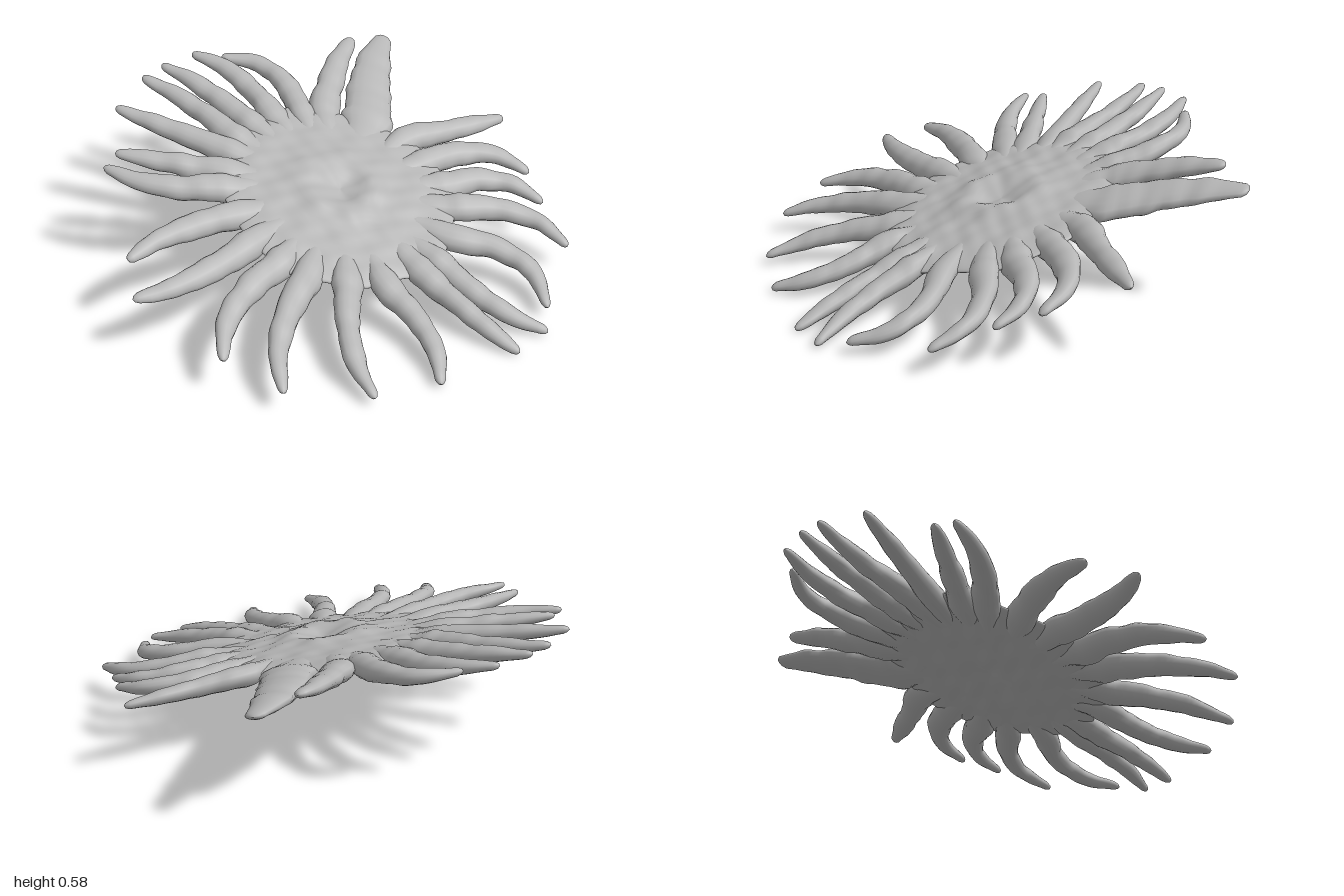
import * as THREE from 'three';

const skin = new THREE.MeshStandardMaterial({ color: 0xb6b6b6 });
skin.name = 'paleGreySkin';

// The whole animal lies on a tilted plane
const slope = (x, z) => 0.287 - 0.285 * z + 0.042 * x;

// Smooth lumpy noise, about -1..1
const lump = (x, y, z) =>
  (Math.sin(23 * x + 9 * z + 1) * Math.sin(27 * z - 7 * x + 30 * y) +
   0.7 * Math.sin(47 * x - 31 * z + 2) * Math.sin(41 * z + 19 * x + 20 * y)) / 1.5;

// Closed-ring surface: rows along, cols around; place(u, v) gives a flat-space point
function ringSurface(rows, cols, place) {
  const pos = [], index = [];
  for (let i = 0; i <= rows; i++) {
    for (let j = 0; j < cols; j++) {
      const p = place(i / rows, j / cols);
      pos.push(p.x, p.y + slope(p.x, p.z), p.z);
      if (i === rows) continue;
      const a = i * cols + j, b = i * cols + (j + 1) % cols;
      index.push(a, a + cols, b + cols, a, b + cols, b);
    }
  }
  const g = new THREE.BufferGeometry();
  g.setAttribute('position', new THREE.Float32BufferAttribute(pos, 3));
  g.setIndex(index);
  g.computeVertexNormals();
  return g;
}

// Piecewise-linear lookup in [t, value] stops
function ramp(stops, t) {
  for (let k = 1; k < stops.length; k++) {
    const [t0, v0] = stops[k - 1], [t1, v1] = stops[k];
    if (t <= t1) return v0 + (v1 - v0) * (t - t0) / (t1 - t0);
  }
  return stops[stops.length - 1][1];
}

// Point on the oval where the arms leave the disc
const centre = new THREE.Vector3(0.05, 0, 0);
function onOval(degrees, scale) {
  const a = THREE.MathUtils.degToRad(degrees);
  return new THREE.Vector3(0.47 * Math.cos(a), 0, 0.5 * Math.sin(a)).multiplyScalar(scale).add(centre);
}

// Arms: root angle, tip x, tip z, sideways bend, half width, tip lift
const arms = [
  [-8, 0.99, 0.08, 0],
  [9, 0.835, 0.37, -0.08],
  [26, 0.755, 0.52, -0.075],
  [41, 0.66, 0.74, -0.085],
  [61, 0.34, 0.9, -0.11],
  [80, 0.25, 0.98, 0.03],
  [91, 0.08, 0.98, 0.01],
  [113, -0.285, 0.9, -0.05],
  [132, -0.535, 0.8, 0.04],
  [151, -0.8, 0.585, 0.05],
  [165, -0.89, 0.35, 0.06],
  [181, -0.99, -0.055, -0.03],
  [198, -0.89, -0.215, 0.03],
  [215, -0.675, -0.645, -0.04],
  [226, -0.59, -0.68, 0],
  [240, -0.43, -0.885, 0],
  [250, -0.22, -0.97, 0.02],
  [264, -0.1, -0.985, 0.02],
  [278, 0.06, -0.97, 0.05],
  [294, 0.16, -0.885, 0.09],
  [307, 0.715, -0.615, -0.02, 0.055, 0.045],
  [330, 0.89, -0.58, -0.02, 0.088, 0.01],
];

// Disc: the rim runs through the notches between arms, shallower where arms crowd
function discGeometry() {
  const notches = arms.map(([angle], i) => {
    const next = i + 1 < arms.length ? arms[i + 1][0] : arms[0][0] + 360;
    return onOval((angle + next) / 2, 1 + (18 - (next - angle)) * 0.012);
  });
  const rim = new THREE.CatmullRomCurve3(notches, true);
  const cols = 132;
  return ringSurface(56, cols, (u, v) => {
    // underside centre -> rim -> upper centre
    const a = (u - 0.5) * Math.PI, top = u > 0.5;
    const p = centre.clone().lerp(rim.getPoint(v), Math.cos(a));
    const r = p.distanceTo(centre);
    const bowl = top
      ? 0.02 * Math.exp(-(((r - 0.14) / 0.06) ** 2)) - 0.025 * Math.exp(-((r / 0.08) ** 2))
      : 0.02 * Math.exp(-((r / 0.09) ** 2));
    const bumps = 0.009 * lump(p.x, top ? 0.1 : -0.1, p.z) * Math.abs(Math.sin(a));
    p.y = 0.048 * Math.sin(a) + bowl + bumps;
    return p;
  });
}

// Arm taper from the hidden inner end to the blunt tip
const widthStops = [[0, 0], [0.05, 0.8], [0.28, 1.3], [0.45, 1.1], [0.75, 0.88], [0.9, 0.62], [0.985, 0.4], [1, 0]];
const heightStops = [[0, 0], [0.05, 0.03], [0.3, 0.05], [0.55, 0.042], [0.8, 0.032], [0.985, 0.016], [1, 0]];

function armGeometry([angle, tipX, tipZ, bend, halfWidth = 0.047, lift = 0]) {
  const root = onOval(angle, 0.97), tip = new THREE.Vector3(tipX, lift, tipZ);
  const across = new THREE.Vector3(root.z - tipZ, 0, tipX - root.x).normalize();
  const along = (t, offset) => root.clone().lerp(tip, t).addScaledVector(across, offset);
  const path = new THREE.CatmullRomCurve3(
    [onOval(angle, 0.55), root, along(0.35, bend * 0.9), along(0.7, bend), tip]);
  const up = new THREE.Vector3(0, 1, 0);
  return ringSurface(36, 14, (u, v) => {
    // the last rows crowd together to round off the tip
    const t = ramp([[0, 0], [0.96, 0.985], [1, 1]], u);
    const p = path.getPointAt(t);
    const side = path.getTangentAt(t).cross(up).normalize();
    const a = v * Math.PI * 2;
    const n = 1 + 0.12 * lump(p.x, Math.sin(a) * 0.05, p.z);
    p.addScaledVector(side, Math.cos(a) * halfWidth * ramp(widthStops, t) * n);
    p.y += Math.sin(a) * ramp(heightStops, t) * n;
    return p;
  });
}

export function createModel() {
  const model = new THREE.Group();
  model.name = 'sunStar';

  const disc = new THREE.Mesh(discGeometry(), skin);
  disc.name = 'centralDisc';
  model.add(disc);

  const armGroup = new THREE.Group();
  armGroup.name = 'arms';
  arms.forEach((spec, i) => {
    const arm = new THREE.Mesh(armGeometry(spec), skin);
    arm.name = `arm${i + 1}`;
    armGroup.add(arm);
  });
  model.add(armGroup);

  // Rest the lowest tip on the ground
  const low = new THREE.Box3().setFromObject(model).min.y;
  model.children.forEach((part) => { part.position.y -= low; });
  return model;
}
